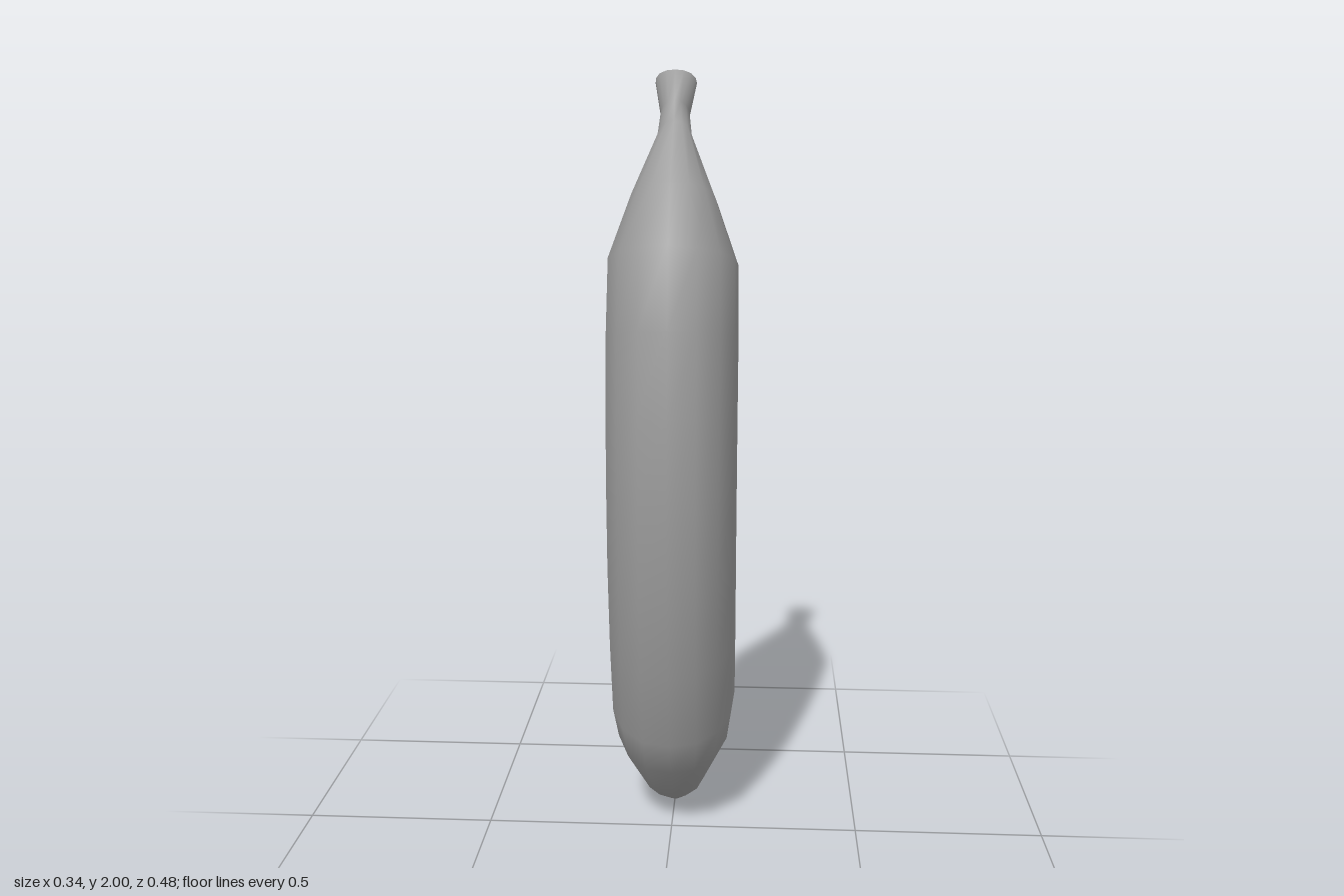
import * as THREE from 'three';

// Sections from tip to stem: front z, front y, back z, back y, half width
const SECTIONS = [
  [-0.16, 0.0, -0.2, 0.02, 0.022],
  [-0.05, 0.06, -0.228, 0.13, 0.087],
  [0.075, 0.19, -0.242, 0.32, 0.155],
  [0.127, 0.29, -0.224, 0.4, 0.167],
  [0.185, 0.5, -0.17, 0.6, 0.168],
  [0.228, 0.74, -0.132, 0.8, 0.168],
  [0.24, 0.98, -0.122, 0.98, 0.168],
  [0.233, 1.18, -0.127, 1.155, 0.168],
  [0.207, 1.39, -0.148, 1.31, 0.168],
  [0.16, 1.585, -0.181, 1.485, 0.165],
  [0.053, 1.73, -0.17, 1.65, 0.108],
  [-0.1, 1.876, -0.158, 1.79, 0.045],
  [-0.122, 1.925, -0.18, 1.865, 0.037],
  [-0.148, 2.0, -0.24, 1.95, 0.053],
];

// Half outline from front to back: width fraction, depth fraction
const HALF = [
  [0, 0], [0.42, 0.04], [0.75, 0.172], [0.95, 0.39],
  [1, 0.63], [0.77, 0.85], [0.43, 0.96], [0, 1],
];
const OUTLINE = [...HALF, ...HALF.slice(1, -1).reverse().map(([x, d]) => [-x, d])];
const SIDES = OUTLINE.length;

// Outline placed in the tilted plane of a section
function ring([fz, fy, bz, by, halfWidth]) {
  return OUTLINE.flatMap(([x, d]) => [x * halfWidth, fy + (by - fy) * d, fz + (bz - fz) * d]);
}

function center([fz, fy, bz, by]) {
  return [0, (fy + by) / 2, (fz + bz) / 2];
}

// Smooth skin through all sections, closed softly at the tip and stem
function skinGeometry() {
  const last = SECTIONS.length - 1;
  const positions = [
    ...SECTIONS.flatMap(ring),
    ...center(SECTIONS[0]),
    ...center(SECTIONS[last]),
  ];
  const tipCenter = SECTIONS.length * SIDES;
  const stemCenter = tipCenter + 1;
  const indices = [];
  for (let j = 0; j < SIDES; j++) {
    const k = (j + 1) % SIDES;
    for (let i = 0; i < last; i++) {
      const a = i * SIDES + j, b = i * SIDES + k;
      indices.push(a, b, b + SIDES, a, b + SIDES, a + SIDES);
    }
    indices.push(tipCenter, k, j);
    indices.push(stemCenter, last * SIDES + j, last * SIDES + k);
  }
  const geometry = new THREE.BufferGeometry();
  geometry.setAttribute('position', new THREE.Float32BufferAttribute(positions, 3));
  geometry.setIndex(indices);
  geometry.computeVertexNormals();
  return geometry;
}

export function createModel() {
  const group = new THREE.Group();
  group.name = 'banana';
  const skin = new THREE.Mesh(
    skinGeometry(),
    new THREE.MeshStandardMaterial({ color: 0x9d9d9d }),
  );
  skin.name = 'skin';
  group.add(skin);
  return group;
}
